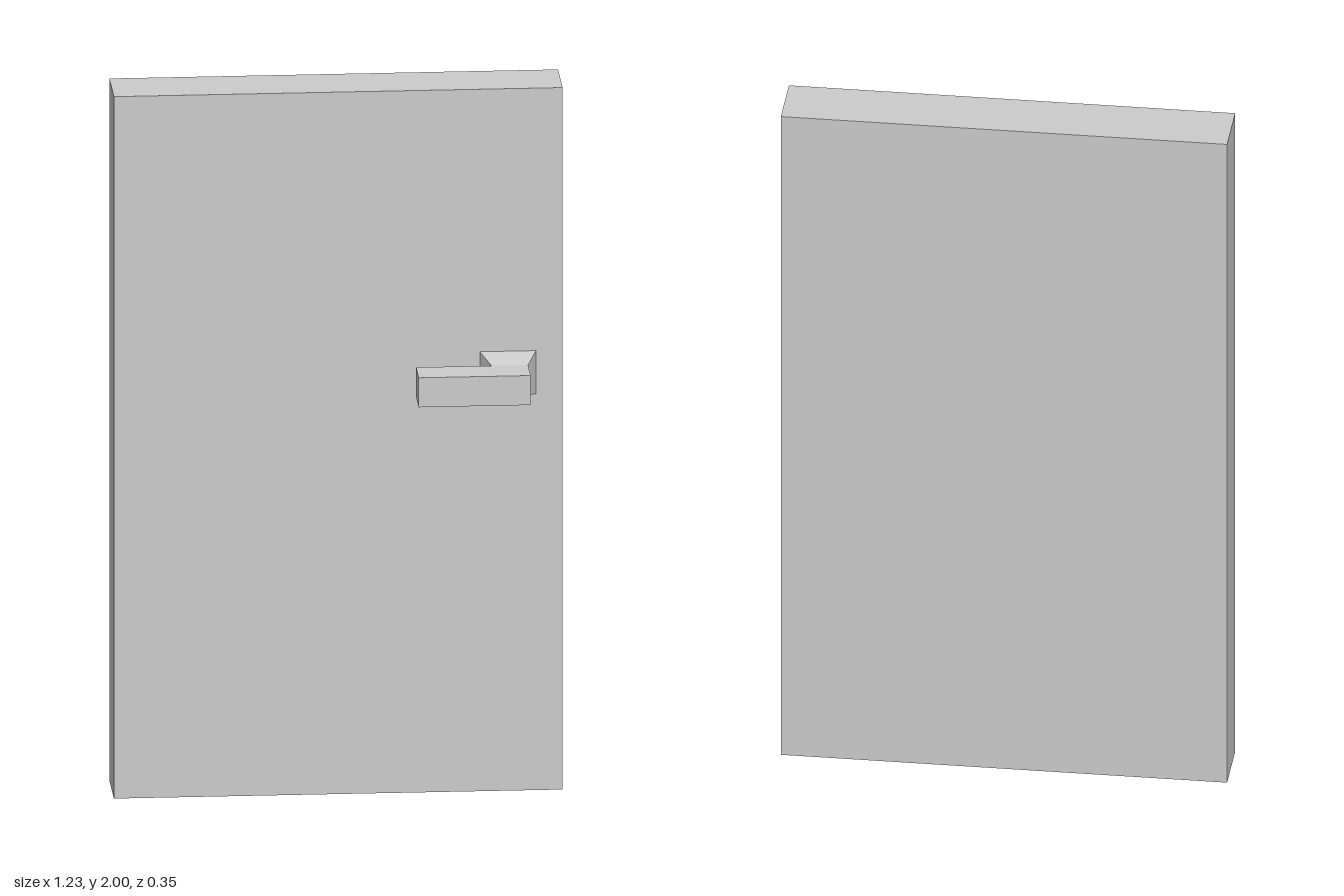
import * as THREE from 'three';

const material = new THREE.MeshStandardMaterial({ color: 0xcccccc, flatShading: true });

// Box given by its lower and upper limits on each axis
function boxBetween([x0, y0, z0], [x1, y1, z1]) {
  return new THREE.BoxGeometry(x1 - x0, y1 - y0, z1 - z0)
    .translate((x0 + x1) / 2, (y0 + y1) / 2, (z0 + z1) / 2);
}

function addPart(group, name, geometry) {
  const mesh = new THREE.Mesh(geometry, material);
  mesh.name = name;
  group.add(mesh);
}

export function createModel() {
  const model = new THREE.Group();
  model.name = 'door';
  const faceZ = 0.002, neckZ = 0.072;

  // Door slab
  addPart(model, 'doorPanel', boxBetween([-0.615, 0, -0.174], [0.615, 2, faceZ]));

  const handle = new THREE.Group();
  handle.name = 'handle';
  model.add(handle);

  // Lever pointing towards the middle of the door
  addPart(handle, 'handleLever', boxBetween([0.208, 1.148, neckZ], [0.515, 1.232, 0.174]));

  // Mount: a box narrowing from the door face to the lever
  const mount = boxBetween([0.388, 1.128, faceZ], [0.542, 1.252, neckZ]);
  const pos = mount.attributes.position;
  const middleZ = (faceZ + neckZ) / 2;
  for (let i = 0; i < pos.count; i++) {
    if (pos.getZ(i) < middleZ) continue;
    pos.setX(i, pos.getX(i) < 0.465 ? 0.415 : 0.515);
    pos.setY(i, pos.getY(i) < 1.19 ? 1.148 : 1.232);
  }
  mount.computeVertexNormals();
  addPart(handle, 'handleMount', mount);

  return model;
}
